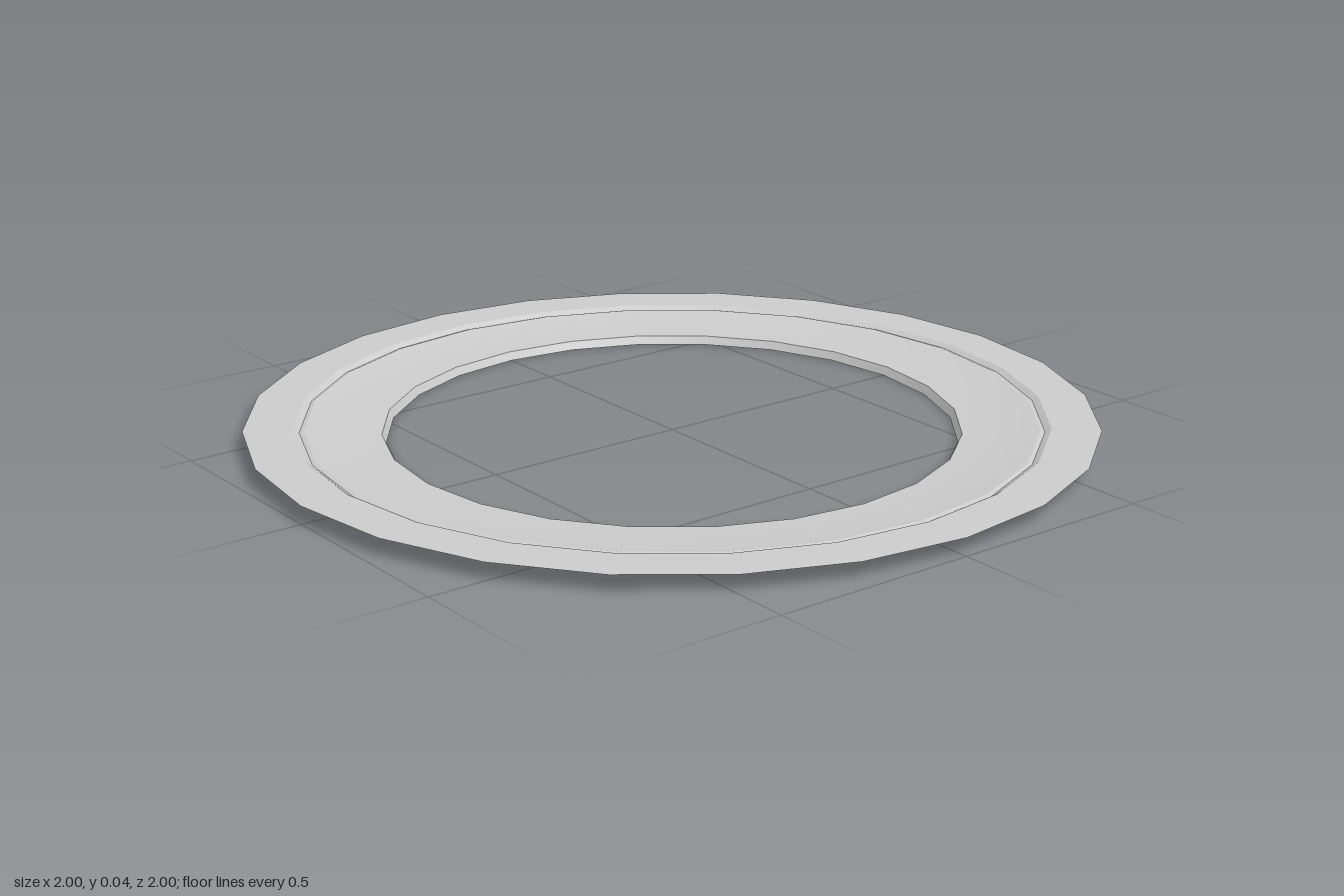
import * as THREE from 'three';

const SEGMENTS = 24;

// Each band is a smooth strip of the thin sheet, listed as [radius, height] from outside to inside;
// separate bands keep the creases between them sharp.
const bands = {
  outerFlange: [[1, 0.042], [0.885, 0.042]],
  rimStep: [[0.885, 0.042], [0.87, 0.033]],
  rimGroove: [[0.87, 0.033], [0.86, 0.036]],
  dishedRing: [[0.86, 0.036], [0.78, 0.024], [0.68, 0.02]],
  innerLip: [[0.68, 0.02], [0.67, 0]],
};

export function createModel() {
  const group = new THREE.Group();
  group.name = 'trimRing';
  const material = new THREE.MeshStandardMaterial({ color: 0xcccccc, side: THREE.DoubleSide });

  for (const [name, profile] of Object.entries(bands)) {
    const points = profile.map(([r, y]) => new THREE.Vector2(r, y));
    const mesh = new THREE.Mesh(new THREE.LatheGeometry(points, SEGMENTS), material);
    mesh.name = name;
    group.add(mesh);
  }
  return group;
}
